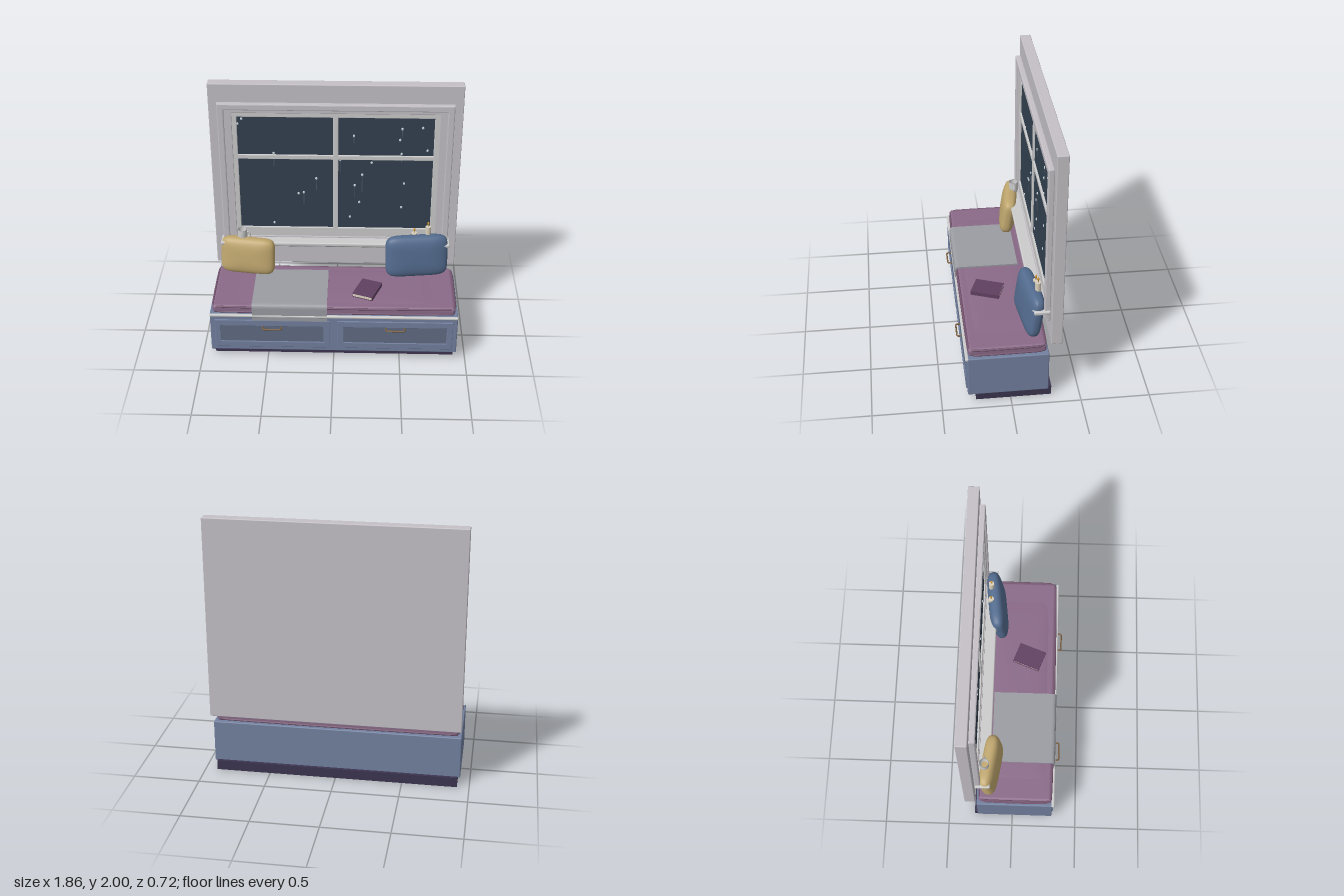
import * as THREE from 'three';
import { RoundedBoxGeometry } from 'three/addons/geometries/RoundedBoxGeometry.js';
import { mergeVertices } from 'three/addons/utils/BufferGeometryUtils.js';

const mat = (color) => new THREE.MeshStandardMaterial({ color });
const M = {
  wall: mat(0xc4c0c6), trim: mat(0xcccccc), glass: mat(0x32414f), drop: mat(0xc8d4dc), trail: mat(0x4a5866),
  body: mat(0x72809f), panel: mat(0x616c84), plinth: mat(0x3c3450), seat: mat(0x8a6a88), piping: mat(0x74546f),
  blanket: mat(0x9a9ca2), gold: mat(0xbfa66e), blue: mat(0x536b8e), bronze: mat(0x7d6040),
  cream: mat(0xd9d0bb), flame: mat(0xd89a30), book: mat(0x5f4060),
};
M.glass.color.set(0x32404f);
M.blanket.side = THREE.DoubleSide;

export function createModel() {
  const root = new THREE.Group();
  root.name = 'windowSeat';

  const add = (name, geo, material, x = 0, y = 0, z = 0, parent = root) => {
    const m = new THREE.Mesh(geo, material);
    m.name = name;
    m.position.set(x, y, z);
    parent.add(m);
    return m;
  };
  // Box given by its limits, with optional rounded edges
  const box = (name, material, [x0, x1], [y0, y1], [z0, z1], r = 0, parent = root) => {
    const s = [x1 - x0, y1 - y0, z1 - z0];
    const geo = r ? new RoundedBoxGeometry(...s, 3, r) : new THREE.BoxGeometry(...s);
    return add(name, geo, material, (x0 + x1) / 2, (y0 + y1) / 2, (z0 + z1) / 2, parent);
  };
  const rect = (path, x0, x1, y0, y1) =>
    path.moveTo(x0, y0).lineTo(x1, y0).lineTo(x1, y1).lineTo(x0, y1).closePath();
  // Flat frame with rectangular openings, extruded from z0 to z1 with a small bevel
  const frame = (name, material, outer, holes, z0, z1, b = 0.004) => {
    const s = new THREE.Shape();
    rect(s, outer[0] + b, outer[1] - b, outer[2] + b, outer[3] - b);
    for (const h of holes) s.holes.push(rect(new THREE.Path(), h[0] - b, h[1] + b, h[2] - b, h[3] + b));
    const geo = new THREE.ExtrudeGeometry(s, {
      depth: z1 - z0 - 2 * b, bevelSize: b, bevelThickness: b, bevelSegments: 2,
    });
    return add(name, geo, material, 0, 0, z0 + b);
  };
  // Soft stuffed form: rounded rectangle outline n, bulging thickness m
  const stuffed = (hx, hy, hz, n, m) => {
    let geo = new THREE.SphereGeometry(1, 72, 48);
    const p = geo.attributes.position;
    for (let i = 0; i < p.count; i++) {
      const x = p.getX(i), y = p.getY(i), z = p.getZ(i);
      const o = Math.pow(Math.abs(x) ** n + Math.abs(y) ** n, m / n);
      const r = Math.pow(o + Math.abs(z) ** m, -1 / m);
      p.setXYZ(i, x * r * hx, y * r * hy, z * r * hz);
    }
    geo.deleteAttribute('uv');
    geo.deleteAttribute('normal');
    geo = mergeVertices(geo, 1e-5);
    geo.computeVertexNormals();
    return geo;
  };

  // Wall panel
  box('wall', M.wall, [-0.93, 0.93], [0.48, 2], [-0.36, -0.28], 0.006);

  // Window: stepped casing, sash with four openings, glass
  frame('casing', M.wall, [-0.865, 0.865, 0.66, 1.86], [[-0.815, 0.815, 0.73, 1.81]], -0.282, -0.238, 0.008);
  frame('innerCasing', M.wall, [-0.82, 0.82, 0.7, 1.815], [[-0.76, 0.76, 0.74, 1.785]], -0.282, -0.25);
  const panes = [];
  for (const [x0, x1] of [[-0.725, -0.02], [0.02, 0.725]])
    for (const [y0, y1] of [[0.815, 1.405], [1.44, 1.75]]) panes.push([x0, x1, y0, y1]);
  frame('sash', M.trim, [-0.765, 0.765, 0.735, 1.79], panes, -0.282, -0.258);
  box('glass', M.glass, [-0.74, 0.74], [0.8, 1.77], [-0.285, -0.272]);

  // Sill and apron
  box('sill', M.trim, [-0.88, 0.88], [0.7, 0.73], [-0.28, -0.165], 0.01);
  box('sillMoulding', M.trim, [-0.84, 0.84], [0.66, 0.7], [-0.28, -0.225], 0.008);
  box('apron', M.wall, [-0.865, 0.865], [0.64, 0.665], [-0.28, -0.255], 0.006);

  // Raindrops, some with a running trail: x, y, trail length
  const drops = [
    [-0.72, 1.69, 0], [-0.69, 1.73, 0], [-0.46, 1.45, 0.11], [-0.28, 1.11, 0], [-0.24, 1.12, 0.1],
    [-0.145, 1.24, 0.1], [-0.47, 0.85, 0], [0.135, 1.6, 0.06], [0.49, 1.66, 0.07], [0.64, 1.67, 0],
    [0.475, 1.57, 0], [0.49, 1.455, 0.07], [0.68, 1.485, 0], [0.27, 1.38, 0], [0.2, 1.275, 0.15],
    [0.145, 1.185, 0.11], [0.515, 1.205, 0], [0.18, 1.04, 0], [0.5, 1.0, 0], [0.11, 0.91, 0], [0.035, 1.4, 0.11],
  ];
  const dropGeo = new THREE.SphereGeometry(0.009, 12, 8);
  for (const [x, y, len] of drops) {
    add('raindrop', dropGeo, M.drop, x, y, -0.27).scale.set(1, 1.3, 0.6);
    if (len) box('rainTrail', M.trail, [x - 0.003, x + 0.003], [y - len, y], [-0.274, -0.27]);
  }

  // Bench body
  box('plinth', M.plinth, [-0.91, 0.91], [0, 0.075], [-0.295, 0.25]);
  box('benchBody', M.body, [-0.93, 0.93], [0.065, 0.392], [-0.272, 0.31], 0.008);
  box('frontTrim', M.trim, [-0.93, 0.93], [0.374, 0.394], [0.3, 0.325], 0.008);

  // Drawers with recessed panels and bar handles
  for (const s of [-1, 1]) {
    const c = s * 0.4625;
    frame('drawerFront', M.body, [c - 0.4325, c + 0.4325, 0.1, 0.345],
      [[c - 0.388, c + 0.388, 0.15, 0.292]], 0.305, 0.32);
    box('drawerPanel', M.panel, [c - 0.39, c + 0.39], [0.148, 0.294], [0.3, 0.313]);
    const path = new THREE.CurvePath();
    const pts = [[-0.07, 0.31], [-0.07, 0.345], [-0.062, 0.353], [0.062, 0.353], [0.07, 0.345], [0.07, 0.31]]
      .map(([x, z]) => new THREE.Vector3(x, 0, z));
    for (let i = 1; i < pts.length; i++) path.add(new THREE.LineCurve3(pts[i - 1], pts[i]));
    add('drawerHandle', new THREE.TubeGeometry(path, 50, 0.006, 8), M.bronze, c, 0.287, 0);
  }

  // Seat cushion with a domed top and piped edges
  box('seatCushion', M.seat, [-0.908, 0.908], [0.392, 0.462], [-0.257, 0.302], 0.025);
  add('seatCushionTop', stuffed(0.895, 0.27, 0.042, 12, 3), M.seat, 0, 0.43, 0.022).rotation.x = -Math.PI / 2;
  const hx = 0.905, hz = 0.273, r = 0.04, loop = [];
  for (let q = 0; q < 4; q++) {
    const sx = q === 0 || q === 3 ? 1 : -1, sz = q < 2 ? 1 : -1;
    for (let k = 0; k <= 4; k++) {
      const a = (q + k / 4) * Math.PI / 2;
      loop.push(new THREE.Vector3(sx * (hx - r) + r * Math.cos(a), 0, sz * (hz - r) + r * Math.sin(a)));
    }
  }
  const pipeGeo = new THREE.TubeGeometry(new THREE.CatmullRomCurve3(loop, true, 'centripetal'), 160, 0.008, 8, true);
  for (const y of [0.408, 0.45]) add('cushionPiping', pipeGeo, M.piping, 0, y, 0.022);

  // Throw blanket draped over the front edge
  const b = new THREE.Shape();
  b.moveTo(-0.165, 0.474).lineTo(0.28, 0.474).quadraticCurveTo(0.31, 0.474, 0.311, 0.44)
    .lineTo(0.311, 0.345).lineTo(0.321, 0.345).lineTo(0.321, 0.45)
    .quadraticCurveTo(0.321, 0.486, 0.285, 0.486).lineTo(-0.165, 0.486).closePath();
  const blanketGeo = new THREE.ExtrudeGeometry(b, { depth: 0.56, bevelEnabled: false, curveSegments: 10 });
  blanketGeo.rotateY(-Math.PI / 2);
  add('blanket', blanketGeo, M.blanket, -0.05, 0, 0);

  // Leaning pillows
  const pillow = (name, material, w, h, x, y, z, turn) => {
    const p = add(name, stuffed(w / 2, h / 2, 0.066, 6, 2.8), material, x, y, z);
    p.rotation.set(-0.14, turn, 0, 'YXZ');
  };
  pillow('goldPillow', M.gold, 0.42, 0.295, -0.673, 0.615, -0.168, -0.15);
  pillow('bluePillow', M.blue, 0.48, 0.335, 0.626, 0.636, -0.163, 0.12);
  add('pillowDroplet', dropGeo, M.drop, 0.842, 0.72, -0.165);

  // Closed book
  const book = new THREE.Group();
  book.name = 'book';
  book.position.set(0.25, 0.473, 0.1);
  book.rotation.y = -0.36;
  root.add(book);
  box('bookCover', M.book, [-0.08, 0.08], [0, 0.004], [-0.108, 0.108], 0, book);
  box('bookCover', M.book, [-0.08, 0.08], [0.027, 0.031], [-0.108, 0.108], 0, book);
  box('bookSpine', M.book, [0.076, 0.08], [0.002, 0.029], [-0.108, 0.108], 0, book);
  box('bookPages', M.cream, [-0.075, 0.077], [0.003, 0.028], [-0.104, 0.104], 0, book);

  // Mug on the sill
  const mug = [[0, 0], [0.032, 0], [0.036, 0.006], [0.037, 0.09], [0.032, 0.09], [0.031, 0.012], [0, 0.012]];
  const mugMat = M.trim.clone();
  mugMat.side = THREE.DoubleSide;
  add('mug', new THREE.LatheGeometry(mug.map((p) => new THREE.Vector2(...p)), 32), mugMat, -0.715, 0.73, -0.212);
  add('mugHandle', new THREE.TorusGeometry(0.024, 0.006, 8, 20, Math.PI), M.trim, -0.68, 0.776, -0.212)
    .rotation.z = -Math.PI / 2;

  // Candles on the sill
  for (const [x, h] of [[0.605, 0.08], [0.71, 0.135]]) {
    add('candle', new THREE.CylinderGeometry(0.021, 0.021, h, 24), M.cream, x, 0.73 + h / 2, -0.212);
    add('wick', new THREE.CylinderGeometry(0.002, 0.002, 0.016, 6), M.plinth, x, 0.738 + h, -0.212);
    add('flame', new THREE.SphereGeometry(0.008, 12, 10), M.flame, x, 0.757 + h, -0.212).scale.y = 1.9;
  }
  return root;
}
